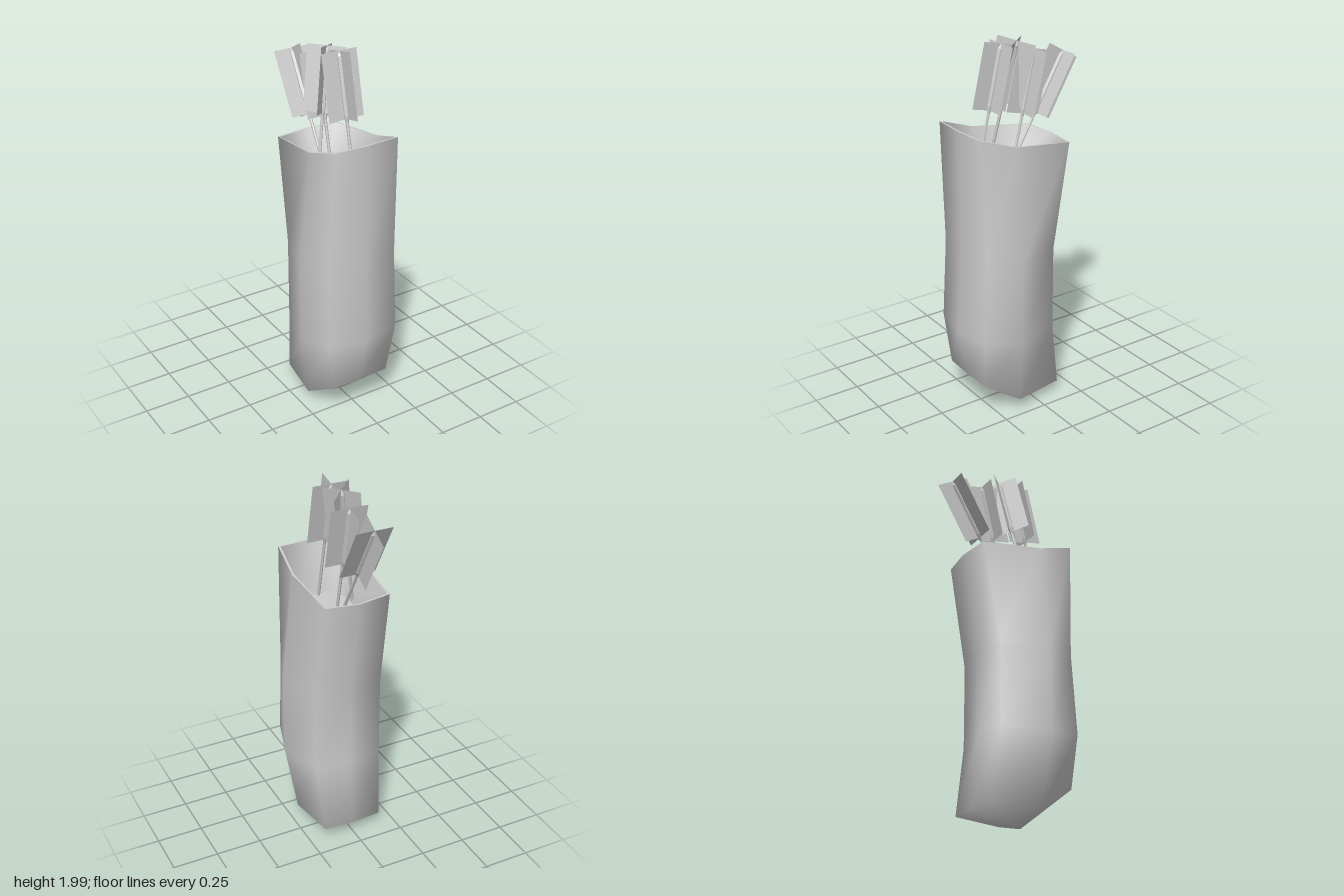
import * as THREE from 'three';
import { mergeVertices } from 'three/addons/utils/BufferGeometryUtils.js';

const grey = new THREE.MeshStandardMaterial({ color: 0xcccccc, side: THREE.DoubleSide });

// Full ring from half a section: front middle, front corner, side, back corner, back middle
function ring(half) {
  const mirrored = half.slice(1, 4).reverse().map(([x, y, z]) => [-x, y, z]);
  return [...half, ...mirrored];
}

// Smooth skin through rings of eight points
function skin(name, halves) {
  const rings = halves.map(ring);
  const n = rings[0].length;
  const index = [];
  for (let i = 0; i < rings.length - 1; i++) {
    for (let j = 0; j < n; j++) {
      const a = i * n + j, b = i * n + (j + 1) % n;
      index.push(a, b, b + n, a, b + n, a + n);
    }
  }
  let geo = new THREE.BufferGeometry();
  geo.setAttribute('position', new THREE.Float32BufferAttribute(rings.flat(2), 3));
  geo.setIndex(index);
  geo = mergeVertices(geo);
  geo.computeVertexNormals();
  const mesh = new THREE.Mesh(geo, grey);
  mesh.name = name;
  return mesh;
}

const point = (x, y, z) => Array.from({ length: 5 }, () => [x, y, z]);

function createQuiver() {
  const quiver = new THREE.Group();
  quiver.name = 'quiver';

  const rim = [[0, 1.58, 0.365], [0.182, 1.58, 0.355], [0.2, 1.51, 0.15], [0.18, 1.465, -0.19], [0, 1.46, -0.215]];
  const innerRim = rim.map(([x, y, z]) => [x * 0.95, y, 0.08 + (z - 0.08) * 0.96]);
  const floor = [[0, 1.3, 0.275], [0.105, 1.3, 0.27], [0.117, 1.3, 0.15], [0.105, 1.3, -0.02], [0, 1.3, -0.025]];

  quiver.add(skin('outerBody', [
    point(0, 0.01, 0.13),
    [[0, 0.2, 0.335], [0.165, 0.2, 0.33], [0.206, 0.07, 0.13], [0.165, 0.073, -0.145], [0, 0.07, -0.155]],
    [[0, 0.47, 0.385], [0.206, 0.48, 0.35], [0.264, 0.45, 0.16], [0.19, 0.45, -0.09], [0, 0.45, -0.115]],
    [[0, 0.92, 0.36], [0.2, 0.92, 0.327], [0.264, 0.9, 0.155], [0.19, 0.9, -0.09], [0, 0.9, -0.115]],
    rim,
  ]));
  quiver.add(skin('rim', [rim, innerRim]));
  quiver.add(skin('innerWall', [innerRim, floor]));
  quiver.add(skin('innerFloor', [floor, point(0, 1.3, 0.12)]));
  return quiver;
}

// Arrow from the top centre to the bottom centre of its vanes, carried on down into the quiver
function createArrow(top, bottom, across) {
  const start = new THREE.Vector3(...top);
  const up = start.clone().sub(new THREE.Vector3(...bottom));
  const vaneLength = up.length();
  up.normalize();
  const shaftLength = (start.y - 1.29) / up.y;

  // Slim shaft thickening between the vanes
  const profile = [
    [0.008, -shaftLength], [0.008, -vaneLength - 0.015], [0.015, -vaneLength + 0.02],
    [0.015, -0.025], [0, 0],
  ].map(([r, y]) => new THREE.Vector2(r, y));
  const shaftMaterial = grey.clone();
  shaftMaterial.flatShading = true;
  const shaft = new THREE.Mesh(new THREE.LatheGeometry(profile, 6), shaftMaterial);
  shaft.name = 'shaft';

  const arrow = new THREE.Group();
  arrow.name = 'arrow';
  arrow.add(shaft);

  // Two crossed vanes
  for (const turn of [0, Math.PI / 2]) {
    const vane = new THREE.Mesh(new THREE.PlaneGeometry(0.2, vaneLength), grey);
    vane.name = 'vane';
    vane.position.y = -vaneLength / 2;
    vane.rotation.y = turn;
    arrow.add(vane);
  }

  const side = new THREE.Vector3(...across);
  side.addScaledVector(up, -side.dot(up)).normalize();
  const front = new THREE.Vector3().crossVectors(side, up);
  arrow.quaternion.setFromRotationMatrix(new THREE.Matrix4().makeBasis(side, up, front));
  arrow.position.copy(start);
  return arrow;
}

export function createModel() {
  const model = new THREE.Group();
  model.name = 'quiverWithArrows';
  model.add(createQuiver());
  model.add(
    createArrow([0, 1.98, 0.102], [0, 1.652, 0.177], [1, 0, 0]),
    createArrow([-0.007, 1.98, 0.005], [-0.063, 1.655, 0.053], [0.67, 0, 0.74]),
    createArrow([0, 1.925, -0.1], [0, 1.6, -0.025], [1, 0, 0]),
    createArrow([-0.03, 1.88, -0.3], [-0.03, 1.58, -0.126], [1, 0, 0]),
  );
  return model;
}
